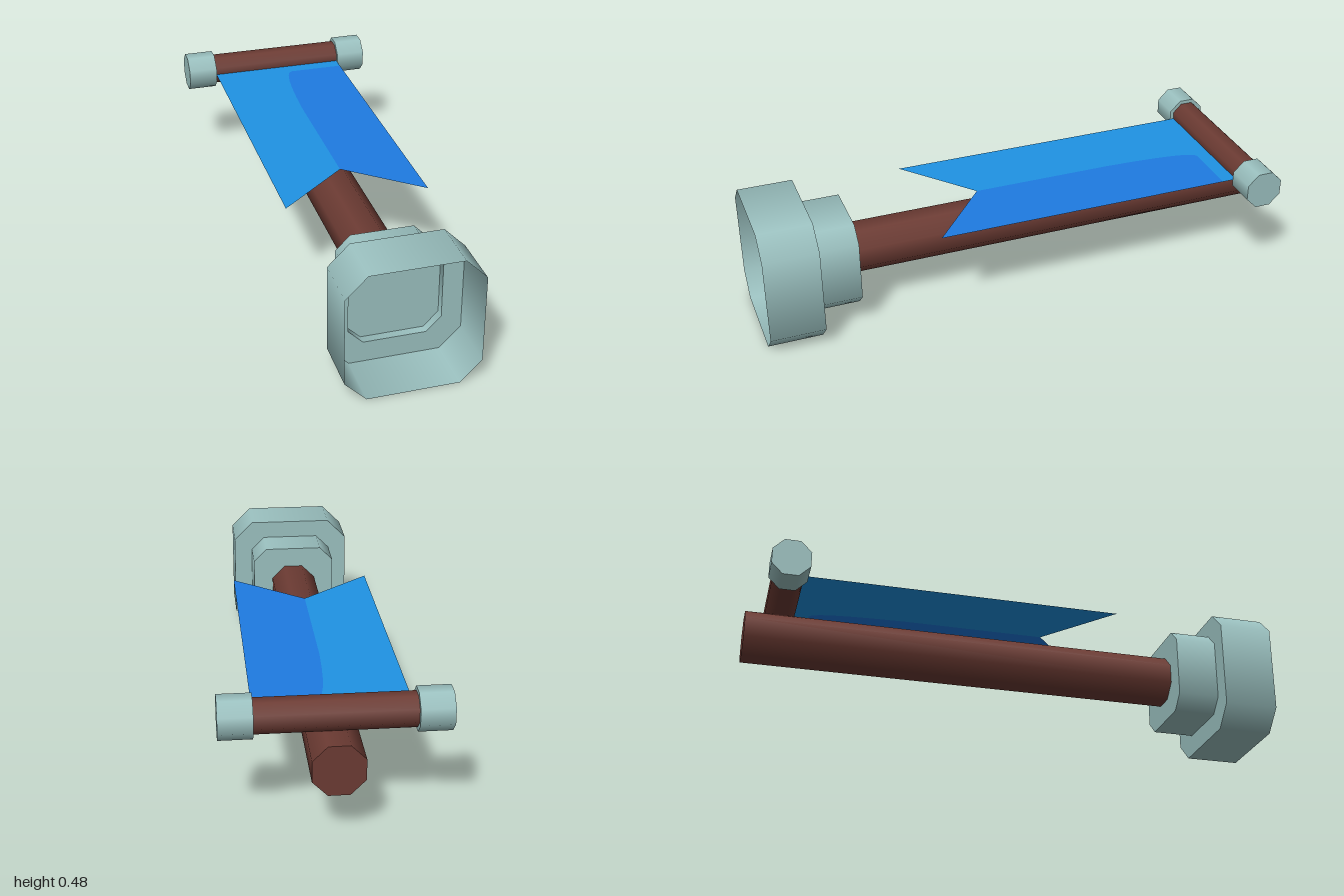
import * as THREE from 'three';

const mat = (name, color, side = THREE.FrontSide) => {
  const m = new THREE.MeshStandardMaterial({ color, side });
  m.name = name;
  return m;
};

// Eight-sided prism along z from z0 to z1: half-width a, flat half-length a * k
function prism(a, z0, z1, k = Math.SQRT2 - 1, open = false) {
  const g = new THREE.CylinderGeometry(a, a, z1 - z0, 8, 1, open, Math.PI / 8);
  g.rotateX(Math.PI / 2);
  const p = g.attributes.position;
  for (let i = 0; i < p.count; i++) {
    const x = p.getX(i), y = p.getY(i);
    if (Math.hypot(x, y) < 1e-6) continue;
    const wide = Math.abs(x) > Math.abs(y);
    p.setXY(i, Math.sign(x) * a * (wide ? 1 : k), Math.sign(y) * a * (wide ? k : 1));
  }
  return g.translate(0, 0, (z0 + z1) / 2);
}

// Outline of a chamfered square, raised by dy
function outline(a, k, Type, dy = 0) {
  const b = a * k;
  return new Type([[a, -b], [a, b], [b, a], [-b, a], [-a, b], [-a, -b], [-b, -a], [b, -a]]
    .map(([x, y]) => new THREE.Vector2(x, y + dy)));
}

export function createModel() {
  const stone = mat('greyStone', 0x9bc1c0, THREE.DoubleSide);
  const wood = mat('brownWood', 0x6c3b33);
  const lightBlue = mat('lightBlueCloth', 0x1f93e4, THREE.DoubleSide);
  const deepBlue = mat('deepBlueCloth', 0x1e7be2, THREE.DoubleSide);

  const root = new THREE.Group();
  const add = (name, geo, material, parent = root) => {
    const mesh = new THREE.Mesh(geo, material);
    mesh.name = name;
    parent.add(mesh);
    return mesh;
  };

  // Hollow stepped foot, open toward +z
  const foot = new THREE.Group();
  foot.name = 'foot';
  foot.position.y = 0.24;
  root.add(foot);
  const k = 0.68, rise = 0.005;
  add('footWall', prism(0.239, 0.797, 1, k, true), stone, foot);
  const ledge = outline(0.239, k, THREE.Shape);
  ledge.holes.push(outline(0.166, k, THREE.Path, rise));
  add('footLedge', new THREE.ShapeGeometry(ledge).translate(0, 0, 0.797), stone, foot);
  add('collarWall', prism(0.166, 0.64, 0.797, k, true), stone, foot).position.y = rise;
  for (const [name, z] of [['collarFloor', 0.765], ['collarBack', 0.64]]) {
    const plate = new THREE.ShapeGeometry(outline(0.166, k, THREE.Shape, rise));
    add(name, plate.translate(0, 0, z), stone, foot);
  }

  // Long pole
  add('pole', prism(0.088, -1, 0.65), wood).position.y = 0.245;

  // Crossbar with end caps
  const bar = new THREE.Group();
  bar.name = 'crossbar';
  bar.position.set(0, 0.388, -0.87);
  root.add(bar);
  add('bar', prism(0.055, -0.28, 0.28).rotateY(Math.PI / 2), wood, bar);
  for (const s of [-1, 1]) {
    const cap = prism(0.069, -0.0575, 0.0575).rotateY(Math.PI / 2);
    add(s > 0 ? 'leftCap' : 'rightCap', cap, stone, bar).position.x = s * 0.3235;
  }

  // Swallow-tailed cloth, drawn in x and -z, held level by the crossbar
  const light = new THREE.Shape();
  light.moveTo(-0.265, 0.83);
  light.lineTo(-0.265, -0.363);
  light.lineTo(0, -0.138);
  light.lineTo(0, 0.4);
  light.quadraticCurveTo(0.01, 0.76, 0.05, 0.76);
  light.lineTo(0.265, 0.76);
  light.lineTo(0.265, 0.83);

  const deep = new THREE.Shape();
  deep.moveTo(0, -0.138);
  deep.lineTo(0.265, -0.363);
  deep.lineTo(0.265, 0.76);
  deep.lineTo(0.05, 0.76);
  deep.quadraticCurveTo(0.01, 0.76, 0, 0.4);

  for (const [name, shape, m] of [['bannerLight', light, lightBlue], ['bannerDeep', deep, deepBlue]]) {
    add(name, new THREE.ShapeGeometry(shape, 6).rotateX(-Math.PI / 2), m).position.y = 0.383;
  }
  return root;
}
